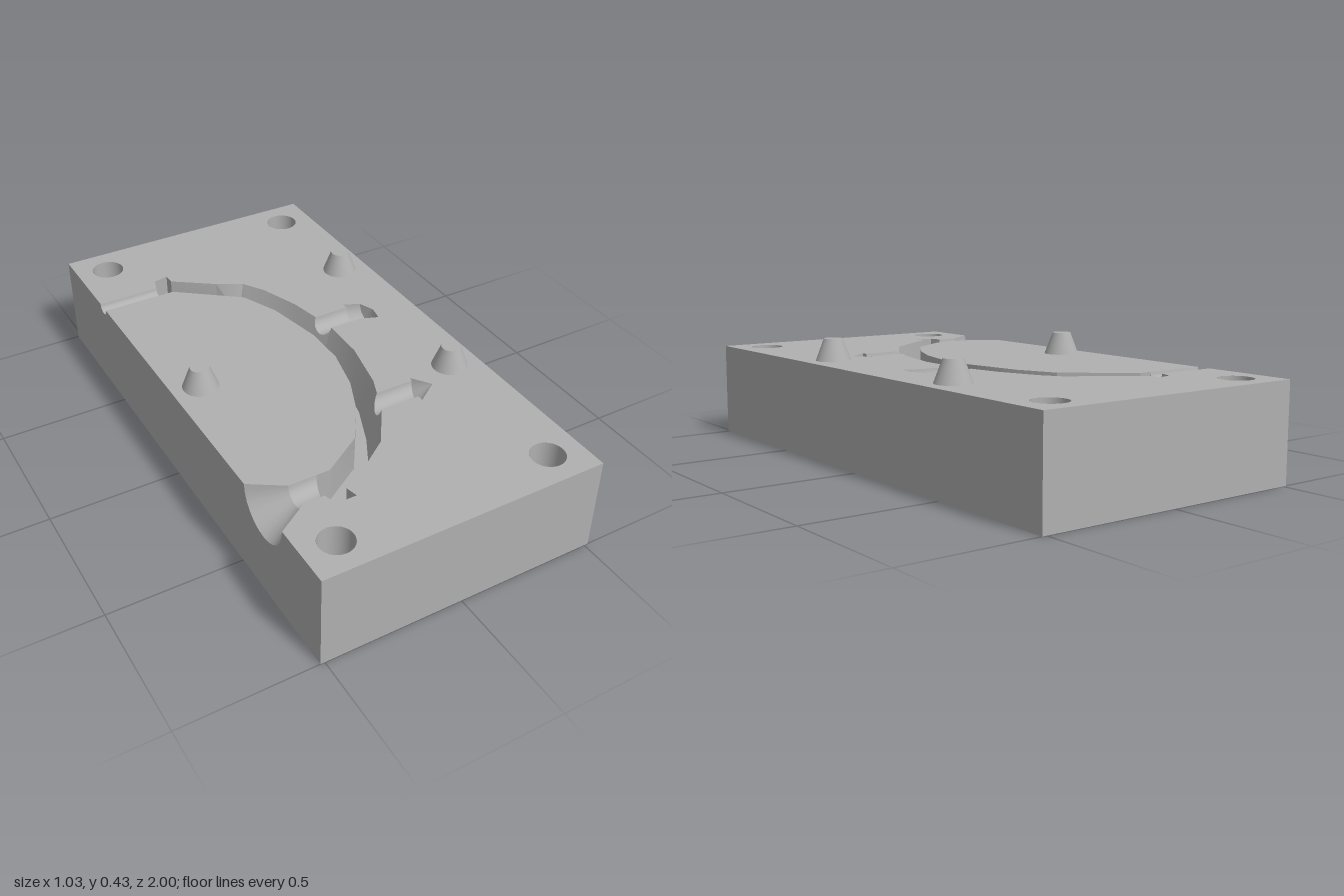
import * as THREE from 'three';
import { toCreasedNormals } from 'three/addons/utils/BufferGeometryUtils.js';

const W = 0.515, H = 0.35, L = 1, DEPTH = 0.13, K = 12;

// Surface through rows of equally many [x, y, z] points
function loft(rows, closed = false) {
  const n = rows[0].length, index = [];
  for (let r = 0; r < rows.length - 1; r++) {
    for (let k = 0; k < (closed ? n : n - 1); k++) {
      const k2 = (k + 1) % n;
      const a = r * n + k, b = a + n, c = r * n + k2, d = c + n;
      index.push(a, c, b, c, d, b);
    }
  }
  const g = new THREE.BufferGeometry();
  g.setAttribute('position', new THREE.Float32BufferAttribute(rows.flat(2), 3));
  g.setIndex(index);
  return toCreasedNormals(g, 0.45);
}

// Half-round section below the parting face, from low z to high z
function arc(zc, r, xa, xb = xa, slope = 0) {
  return Array.from({ length: K + 1 }, (_, k) => {
    const a = (k / K) * Math.PI, drop = r * Math.sin(a);
    const t = (1 - Math.cos(a)) / 2;
    return [xa + (xb - xa) * t - slope * drop, H - drop, zc - r * Math.cos(a)];
  });
}

// Horizontal face from [x, z] points
function flat(points, y) {
  const s = new THREE.Shape(points.map(([x, z]) => new THREE.Vector2(x, -z)));
  return { shape: s, build: () => new THREE.ShapeGeometry(s, 32).rotateX(-Math.PI / 2).translate(0, y, 0) };
}

export function createModel() {
  const group = new THREE.Group();
  const grey = new THREE.MeshStandardMaterial({ color: 0xb0b0b0, side: THREE.DoubleSide });
  grey.name = 'mould grey';
  const add = (name, geometry, x = 0, y = 0, z = 0) => {
    const m = new THREE.Mesh(geometry, grey);
    m.name = name;
    m.position.set(x, y, z);
    group.add(m);
    return m;
  };

  // Half-round runners: pouring funnel, vent and two barbed pins
  const SLOPE = 0.047 / DEPTH;
  const funnel = [arc(0.648, 0.122, -W), arc(0.648, 0.047, -0.4), arc(0.648, 0.047, -0.3, -0.325)];
  const vent = [arc(-0.63, 0.027, -W), arc(-0.63, 0.027, -0.285)];
  const backPin = [
    arc(-0.13, 0.045, 0.148, 0.163, SLOPE), arc(-0.13, 0.045, 0.283),
    arc(-0.143, 0.057, 0.283), arc(-0.115, 0.055, 0.34, 0.352), arc(-0.115, 0.002, 0.362)];
  const frontPin = [
    arc(0.378, 0.043, 0.093, 0.057, SLOPE), arc(0.378, 0.043, 0.235, 0.205),
    arc(0.382, 0.062, 0.24, 0.205), arc(0.385, 0.002, 0.285)];
  add('pouringFunnel', loft(funnel));
  add('ventChannel', loft(vent));
  add('backPinCavity', loft(backPin));
  add('frontPinCavity', loft(frontPin));

  // Curved trough: rim points [x, z, inward lean of the wall]
  const inner = [[-0.24, -0.602], [-0.02, -0.43], [0.04, -0.29], [0.082, -0.077], [0.082, 0.08],
    [0.045, 0.24], [-0.013, 0.373], [-0.1, 0.505], [-0.25, 0.6]];
  const frontTab = [[-0.315, 0.743], [-0.24, 0.743], [-0.25, 0.7], [-0.215, 0.69, 0.012], [-0.035, 0.56, 0.035]];
  const middle = [[0.12, 0.27, 0.047], [0.16, 0.08, 0.047]];
  const backTab = [[0.125, -0.29, 0.047], [0.07, -0.44, 0.047], [0.02, -0.52, 0.04], [-0.07, -0.57],
    [-0.215, -0.675], [-0.215, -0.717], [-0.27, -0.705]];

  const rim = [], base = [];
  const lean = (x, z, amount) => {
    const d = Math.hypot(x + 0.63, z);
    return [x - amount * (x + 0.63) / d, H - DEPTH, z - amount * z / d];
  };
  const wall = (points) => points.forEach(([x, z, s = 0]) => {
    rim.push([x, H, z]);
    base.push(lean(x, z, s));
  });
  const opening = (points, slope) => points.forEach(([x, y, z]) => {
    rim.push([x, y, z]);
    base.push(lean(x + slope * (H - y), z, slope * DEPTH));
  });
  wall(inner);
  opening(funnel[2], 0);
  wall(frontTab);
  opening([...frontPin[0]].reverse(), SLOPE);
  wall(middle);
  opening([...backPin[0]].reverse(), SLOPE);
  wall(backTab);
  opening(vent[1], 0);
  add('troughWalls', loft([rim, base], true));
  add('troughFloor', flat(base.map(([x, , z]) => [x, z]), H - DEPTH).build());

  // Parting face, split into the island and the surrounding face
  const low = (rows) => rows.map((r) => [r[0][0], r[0][2]]);
  const high = (rows) => rows.map((r) => [r[K][0], r[K][2]]);
  const pinEdge = (rows) => [...high(rows), ...low(rows).reverse()];
  const holes = [[-0.395, -0.88], [0.39, -0.88], [-0.395, 0.88], [0.39, 0.88]];
  const drill = (shape, sign) => holes.forEach(([x, z]) => {
    const p = new THREE.Path();
    p.absarc(x, sign * z, 0.06, 0, Math.PI * 2, true);
    shape.holes.push(p);
  });
  add('islandFace', flat([...high(vent), ...inner, ...low(funnel).reverse()], H).build());
  const outer = flat([[-W, -L], [W, -L], [W, L], [-W, L], ...high(funnel), ...frontTab,
    ...pinEdge(frontPin), ...middle, ...pinEdge(backPin), ...backTab, ...low(vent).reverse()], H);
  drill(outer.shape, -1);
  add('partingFace', outer.build());

  // Underside
  const under = new THREE.Shape([[-W, -L], [W, -L], [W, L], [-W, L]].map((p) => new THREE.Vector2(...p)));
  drill(under, 1);
  add('underside', new THREE.ShapeGeometry(under, 32).rotateX(Math.PI / 2));

  // Sides, the runner side notched for the vent and funnel
  add('frontSide', new THREE.PlaneGeometry(2 * W, H), 0, H / 2, L);
  add('backSide', new THREE.PlaneGeometry(2 * W, H).rotateY(Math.PI), 0, H / 2, -L);
  add('plainSide', new THREE.PlaneGeometry(2 * L, H).rotateY(Math.PI / 2), W, H / 2, 0);
  const notched = [[-L, 0], [-L, H], ...vent[0].map((p) => [p[2], p[1]]),
    ...funnel[0].map((p) => [p[2], p[1]]), [L, H], [L, 0]];
  add('notchedSide', new THREE.ShapeGeometry(new THREE.Shape(notched.map((p) => new THREE.Vector2(...p))))
    .rotateY(-Math.PI / 2), -W);

  // Bolt hole walls, facing inward
  for (const [x, z] of holes) {
    const g = new THREE.CylinderGeometry(0.06, 0.06, H, 32, 1, true).scale(-1, 1, 1);
    g.index.array.length && g.computeVertexNormals();
    add('boltHole', g, x, H / 2, z);
  }

  // Tapered alignment pegs
  for (const [x, z] of [[0.405, -0.43], [0.405, 0.32], [-0.41, 0]]) {
    add('alignmentPeg', new THREE.CylinderGeometry(0.034, 0.064, 0.08, 32), x, H + 0.04, z);
  }
  return group;
}
